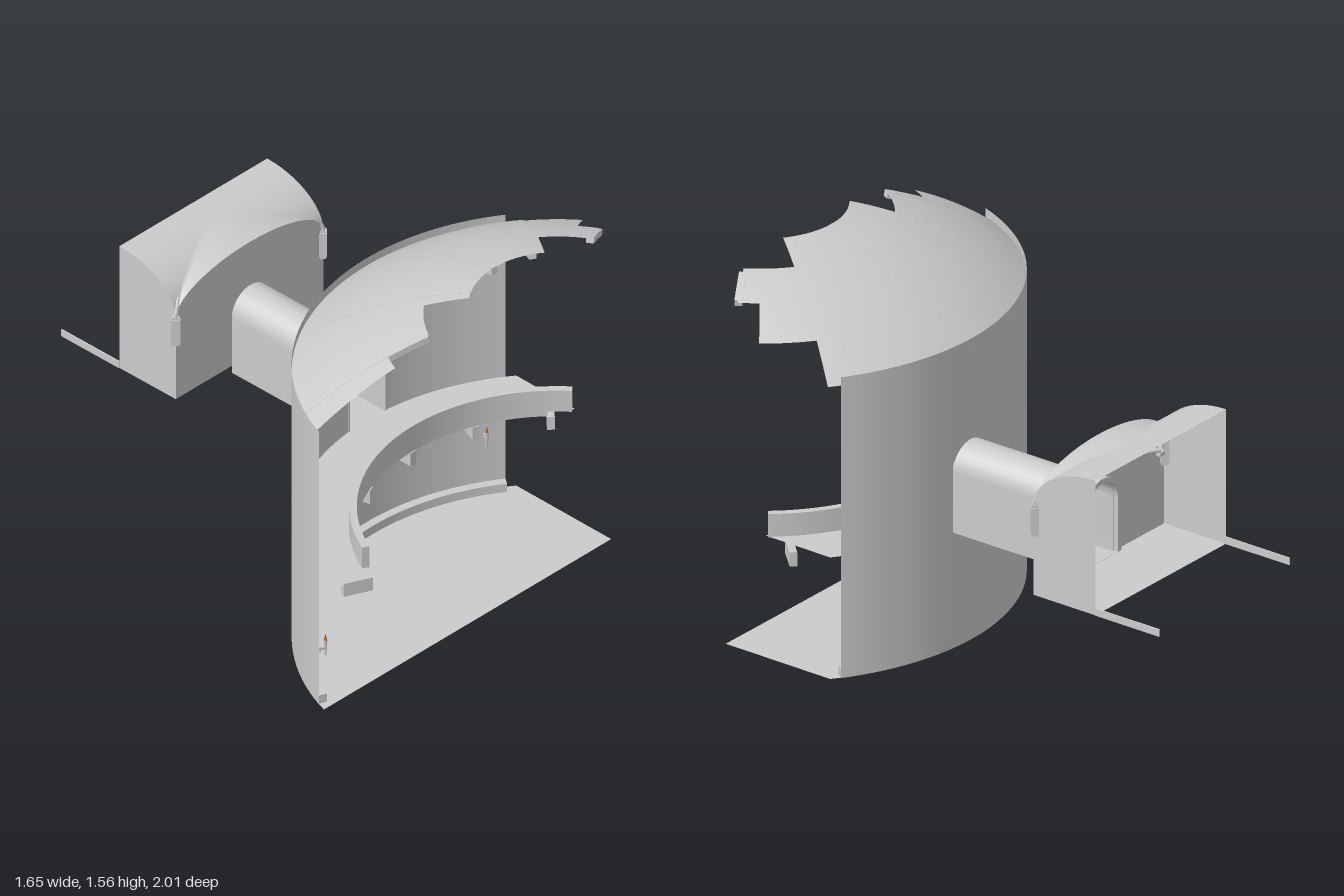
import * as THREE from 'three';
import { mergeGeometries, toCreasedNormals } from 'three/addons/utils/BufferGeometryUtils.js';

const CX = 0.15, CZ = 1.25, R = 1.02; // axis and radius of the round wall
const RX = 0.147, HALF = 0.407;       // middle and half width of the rear room
const rad = THREE.MathUtils.degToRad;
const grey = new THREE.MeshStandardMaterial({ color: 0xcccccc, side: THREE.DoubleSide });
const flame = new THREE.MeshStandardMaterial({ color: 0xb0703c });
const domeY = r => 1.24 + Math.sqrt(1.63 ** 2 - r * r) - Math.sqrt(1.63 ** 2 - R * R);

export function createModel() {
  const model = new THREE.Group();

  function add(name, geo, x = 0, y = 0, z = 0, parent = model, mat = grey) {
    const m = new THREE.Mesh(geo, mat);
    m.name = name;
    m.position.set(x, y, z);
    parent.add(m);
    return m;
  }
  // Group whose local +x points outward from the axis at an angle (0 = rear)
  function spoke(name, deg) {
    const g = new THREE.Group();
    g.name = name;
    g.position.set(CX, 0, CZ);
    g.rotation.y = Math.PI / 2 - rad(deg);
    model.add(g);
    return g;
  }
  // Open profile of [radius, height] swept between two angles
  function sheet(name, profile, a0, a1) {
    const pts = profile.map(p => new THREE.Vector2(...p));
    const segs = Math.max(1, Math.ceil((a1 - a0) / 2.5));
    return add(name, new THREE.LatheGeometry(pts, segs, Math.PI - rad(a1), rad(a1 - a0)), CX, 0, CZ);
  }
  // Curved bar of rectangular section with closed ends
  function bar(name, r0, r1, y0, y1, a0, a1) {
    const c = [[r0, y0], [r1, y0], [r1, y1], [r0, y1]].map(p => new THREE.Vector2(...p));
    const segs = Math.ceil((a1 - a0) / 2.5);
    const sides = c.map((p, i) =>
      new THREE.LatheGeometry([p, c[(i + 1) % 4]], segs, Math.PI - rad(a1), rad(a1 - a0)));
    add(name, mergeGeometries(sides), CX, 0, CZ);
    for (const a of [a0, a1]) add(name + 'End', new THREE.ShapeGeometry(new THREE.Shape(c)), 0, 0, 0, spoke(name + 'Cap', a));
  }
  const arc = (r, a0, a1, n = 48) => Array.from({ length: n + 1 }, (_, i) => {
    const a = rad(a0 + (a1 - a0) * i / n);
    return new THREE.Vector2(CX + r * Math.sin(a), -(CZ - r * Math.cos(a)));
  });
  const flat = (name, pts, y) =>
    add(name, new THREE.ShapeGeometry(new THREE.Shape(pts)).rotateX(-Math.PI / 2), 0, y, 0);
  // Round-topped doorway outline
  function archPath(Type, w, y0, spring) {
    const p = new Type();
    p.moveTo(CX - w, y0);
    p.lineTo(CX + w, y0);
    p.lineTo(CX + w, spring);
    p.absarc(CX, spring, w, 0, Math.PI, false);
    p.lineTo(CX - w, y0);
    return p;
  }

  // Round wall with the doorway left open
  sheet('wallRight', [[R, 0], [R, 1.275]], -70.2, -5.9);
  sheet('wallLeft', [[R, 0], [R, 1.275]], 5.9, 34.6);
  sheet('wallBelowDoor', [[R, 0], [R, 0.515]], -5.9, 5.9);
  sheet('wallAboveDoor', [[R, 0.79], [R, 1.275]], -5.9, 5.9);
  bar('baseMoulding', 0.985, R, 0, 0.04, -70.2, 34.6);
  flat('floor', [...arc(R, -72.6, 37), new THREE.Vector2(0.76, -0.945)], 0.002);

  // Broken dome: [from angle, to angle, inner radius, outer radius]
  const panels = [[-67.7, -60.3, 0.68, R], [-60.3, -38.3, 0.515, R], [-38.3, 37.5, 0.34, R],
    [37.5, 52.5, 0.51, 0.85], [52.5, 59.5, 0.51, 0.68]];
  for (const [a0, a1, r0, r1] of panels) {
    const profile = Array.from({ length: 13 }, (_, i) => {
      const r = r1 + (r0 - r1) * i / 12;
      return [r, domeY(r)];
    });
    sheet('domePanel', profile, a0, a1);
  }

  // Ribs below the dome: [angle, inner radius, outer radius]
  for (const [a, r0, r1] of [[-60, 0.52, 1.01], [-30, 0.35, 1.01], [0, 0.34, 1.01], [30, 0.35, 1.01], [59.5, 0.53, 0.67]]) {
    const top = [], low = [];
    for (let i = 0; i <= 14; i++) {
      const r = r0 + (r1 - r0) * i / 14;
      top.push(new THREE.Vector2(r, domeY(r) + 0.001));
      low.unshift(new THREE.Vector2(r - 0.005, domeY(r) - 0.025));
    }
    const geo = new THREE.ExtrudeGeometry(new THREE.Shape([...top, ...low]), { depth: 0.03, bevelEnabled: false });
    add('domeRib', geo.translate(0, 0, -0.015), 0, 0, 0, spoke('domeRibGroup', a));
  }

  // Balcony: thin deck, parapet, lower beam and brackets
  flat('balconyDeck', [...arc(R, -72.6, 37), new THREE.Vector2(0.76, -0.75), ...arc(0.78, 50, -64.5)], 0.517);
  bar('balconyParapet', 0.77, 0.8, 0.515, 0.613, -64.5, 50);
  bar('balconyBeam', 0.775, 0.81, 0.49, 0.515, -61.5, 43);
  for (let i = -3; i <= 2; i++)
    add('balconyBracket', new THREE.BoxGeometry(0.12, 0.06, 0.03), 0.83, 0.46, 0, spoke('bracketGroup', i * 22));

  // Wall torches: [angle, height]
  for (const [a, y] of [[-70, 0.22], [-30, 0.22], [30, 0.22], [-10.3, 0.71]]) {
    const g = spoke('torch', a);
    add('torchBracket', new THREE.BoxGeometry(0.03, 0.01, 0.008), 1.005, y + 0.035, 0, g);
    add('torchPlate', new THREE.BoxGeometry(0.005, 0.025, 0.015), 1.016, y + 0.035, 0, g);
    add('torchHandle', new THREE.CylinderGeometry(0.008, 0.004, 0.07, 8), 0.99, y + 0.035, 0, g);
    add('torchFlame', new THREE.ConeGeometry(0.007, 0.03, 8), 0.99, y + 0.085, 0, g, flame);
  }

  // Arched passage to the rear room
  const passage = archPath(THREE.Shape, 0.103, 0.49, 0.747);
  passage.holes.push(archPath(THREE.Path, 0.097, 0.515, 0.747));
  const passageGeo = new THREE.ExtrudeGeometry(passage, { depth: 0.625, bevelEnabled: false, curveSegments: 20 });
  add('passage', toCreasedNormals(passageGeo, 0.6), 0, 0, -0.388);

  // Rear room: front wall with arched top and doorway
  const front = new THREE.Shape();
  front.moveTo(RX - HALF, 0.52);
  front.lineTo(RX + HALF, 0.52);
  front.lineTo(RX + HALF, 0.9);
  front.absellipse(RX, 0.9, HALF, 0.15, 0, Math.PI, false);
  front.holes.push(archPath(THREE.Path, 0.097, 0.521, 0.747));
  add('roomFrontWall', new THREE.ShapeGeometry(front, 32), 0, 0, -0.39);
  add('roomFloor', new THREE.PlaneGeometry(HALF * 2, 0.3).rotateX(-Math.PI / 2), RX, 0.52, -0.54);

  // Raised trim around the doorway on the room side
  const trim = archPath(THREE.Shape, 0.118, 0.521, 0.747);
  trim.holes.push(archPath(THREE.Path, 0.097, 0.522, 0.747));
  const trimGeo = new THREE.ExtrudeGeometry(trim, { depth: 0.02, bevelEnabled: false, curveSegments: 20 });
  add('doorTrim', toCreasedNormals(trimGeo, 0.6), 0, 0, -0.41);

  // Vaulted roof where two curved shells meet along the diagonals
  const roof = new THREE.PlaneGeometry(2, 1, 64, 32);
  const p = roof.attributes.position;
  for (let i = 0; i < p.count; i++) {
    const u = Math.sin(p.getX(i) * Math.PI / 2);
    const v = Math.sin((0.5 - p.getY(i)) * Math.PI / 2);
    const across = 0.19 * Math.sqrt(Math.max(0, 1 - v * v));
    const along = (0.19 - 0.04 * v) * Math.sqrt(Math.max(0, 1 - u * u));
    p.setXYZ(i, RX + HALF * u, 0.9 + Math.max(across, along), -0.69 + 0.3 * v);
  }
  roof.computeVertexNormals();
  add('roomRoof', roof);

  // Mirrored side walls, rails, corner lamps and diagonal ribs
  for (const s of [-1, 1]) {
    const x = RX + s * HALF;
    const side = new THREE.Shape();
    side.moveTo(0.39, 0.52);
    side.lineTo(0.69, 0.52);
    side.lineTo(0.69, 1.09);
    side.absellipse(0.69, 0.9, 0.3, 0.19, Math.PI / 2, Math.PI, false);
    add('roomSideWall', new THREE.ShapeGeometry(side, 24).rotateY(Math.PI / 2), x);
    add('rearRail', new THREE.BoxGeometry(0.006, 0.03, 0.31), x, 0.535, -0.845);

    const lamp = new THREE.Group();
    lamp.name = 'cornerLamp';
    lamp.position.set(x - s * 0.003, 0.84, -0.394);
    lamp.rotation.y = Math.PI / 4;
    model.add(lamp);
    add('lampBody', new THREE.BoxGeometry(0.036, 0.11, 0.036), 0, 0, 0, lamp);
    add('lampCap', new THREE.BoxGeometry(0.028, 0.012, 0.028), 0, 0.06, 0, lamp);
    add('lampFoot', new THREE.BoxGeometry(0.028, 0.012, 0.028), 0, -0.06, 0, lamp);

    const path = Array.from({ length: 13 }, (_, i) => {
      const t = Math.sin(i / 12 * Math.PI / 2);
      const d = Math.cos(i / 12 * Math.PI / 2);
      return new THREE.Vector3(RX + s * HALF * d, 0.89 + 0.18 * t, -0.69 + 0.3 * d);
    });
    add('vaultRib', new THREE.TubeGeometry(new THREE.CatmullRomCurve3(path), 32, 0.011, 6));
  }
  add('vaultBoss', new THREE.BoxGeometry(0.03, 0.015, 0.02), RX, 1.055, -0.69);

  return model;
}
